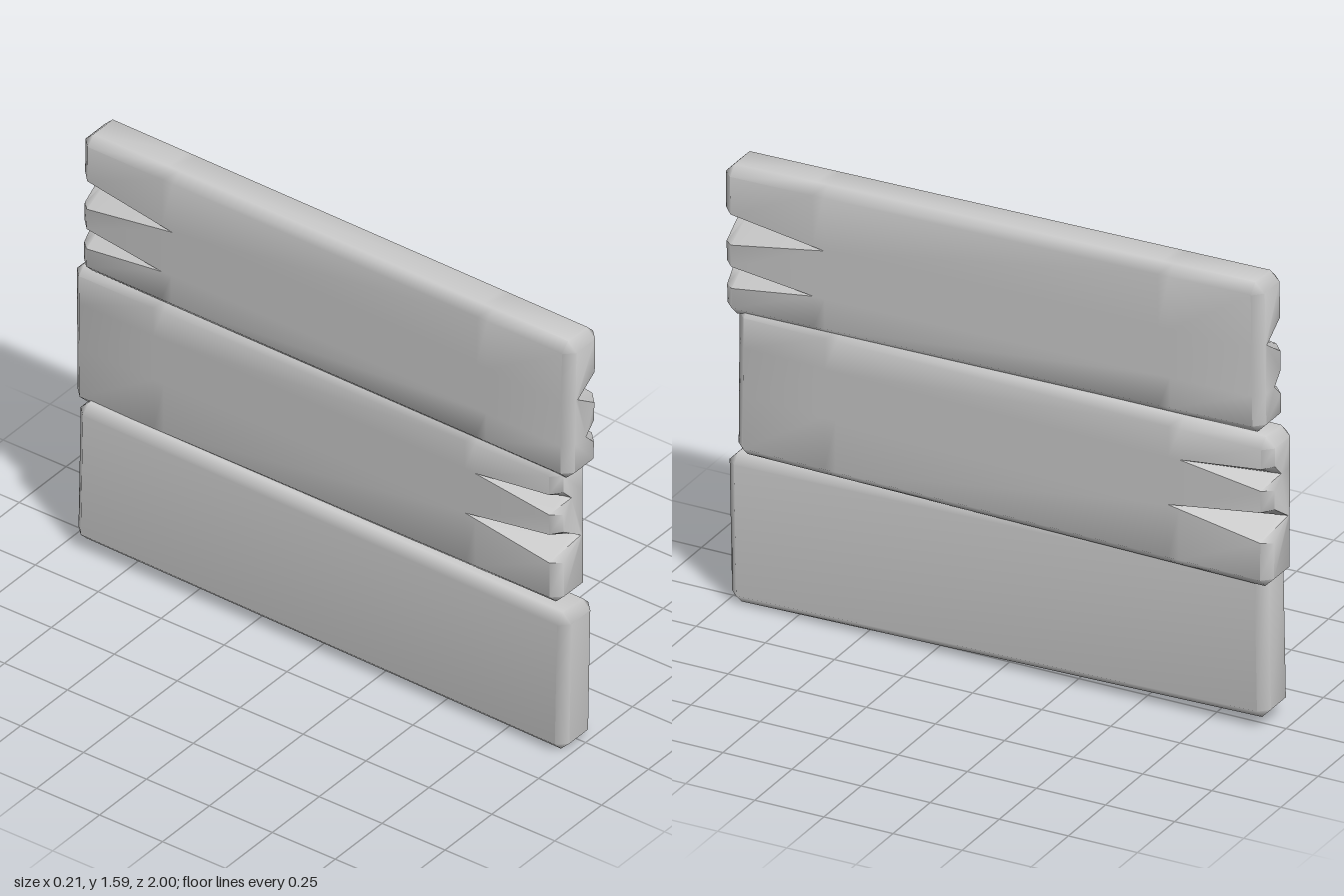
import * as THREE from 'three';

const HX = 0.083, HY = 0.266, HZ = 0.975, BEVEL = 0.033;
// Wedge-shaped splits: height on the plank, half opening, depth and length
const SPLITS = [
  { y: -0.125, open: 0.043, depth: 0.075, len: 0.33 },
  { y: 0.045, open: 0.06, depth: 0.122, len: 0.37 },
];

// Closed cross-section at z, counterclockwise seen from the front
function section(z, splits) {
  const atEnd = Math.abs(z) > HZ - BEVEL / 2;
  const hx = atEnd ? HX - BEVEL : HX, hy = atEnd ? HY - BEVEL : HY;
  const c = atEnd ? 0 : BEVEL;
  const pts = [];
  // side +1 runs upward with splits at the front, side -1 downward with splits at the back
  for (const side of [1, -1]) {
    pts.push([side * (hx - c), -side * hy], [side * hx, -side * (hy - c)]);
    const ordered = side > 0 ? splits : [...splits].reverse();
    for (const s of ordered) {
      const t = Math.max(0, (side * z - (HZ - s.len)) / s.len);
      const inner = t > 0 ? HX - s.depth * t : hx;
      pts.push(
        [side * hx, s.y - side * s.open * t],
        [side * Math.min(hx, inner), s.y],
        [side * hx, s.y + side * s.open * t]);
    }
    pts.push([side * hx, side * (hy - c)], [side * (hx - c), side * hy]);
  }
  return pts.map(([x, y]) => new THREE.Vector3(x, y, z));
}

// Area-weighted normals that stay sharp across edges steeper than the limit
function creasedGeometry(tris, limit) {
  const key = v => `${v.x.toFixed(4)},${v.y.toFixed(4)},${v.z.toFixed(4)}`;
  const around = new Map(), faces = [];
  for (const tri of tris) {
    const n = tri[1].clone().sub(tri[0]).cross(tri[2].clone().sub(tri[0]));
    if (n.length() < 1e-8) continue;
    const face = { tri, n, unit: n.clone().normalize() };
    faces.push(face);
    for (const v of tri) {
      if (!around.has(key(v))) around.set(key(v), []);
      around.get(key(v)).push(face);
    }
  }
  const pos = [], nor = [], minDot = Math.cos(limit);
  for (const f of faces) for (const v of f.tri) {
    const sum = new THREE.Vector3();
    for (const g of around.get(key(v))) if (g.unit.dot(f.unit) > minDot) sum.add(g.n);
    pos.push(...v.toArray());
    nor.push(...sum.normalize().toArray());
  }
  const geo = new THREE.BufferGeometry();
  geo.setAttribute('position', new THREE.Float32BufferAttribute(pos, 3));
  geo.setAttribute('normal', new THREE.Float32BufferAttribute(nor, 3));
  return geo;
}

// Bevelled plank lofted along z
function plankGeometry(splits) {
  const half = [HZ, HZ - BEVEL, ...splits.map(s => HZ - s.len)].sort((a, b) => a - b);
  const rings = [...half.map(z => -z).reverse(), ...half].map(z => section(z, splits));
  const n = rings[0].length, tris = [];
  for (let i = 0; i < rings.length - 1; i++) {
    for (let j = 0; j < n; j++) {
      const k = (j + 1) % n;
      const a = rings[i][j], b = rings[i][k], c = rings[i + 1][j], d = rings[i + 1][k];
      tris.push([a, b, c], [b, d, c]);
    }
  }
  // End caps
  for (const [ring, front] of [[rings[0], false], [rings[rings.length - 1], true]]) {
    const outline = ring.filter((p, j) => p.distanceTo(ring[(j + 1) % n]) > 1e-6);
    const flat = outline.map(p => new THREE.Vector2(p.x, p.y));
    for (const [a, b, c] of THREE.ShapeUtils.triangulateShape(flat, [])) {
      const [p, q, r] = [outline[a], outline[b], outline[c]];
      const ccw = (q.x - p.x) * (r.y - p.y) - (q.y - p.y) * (r.x - p.x) > 0;
      tris.push(ccw === front ? [p, q, r] : [p, r, q]);
    }
  }
  return creasedGeometry(tris, 0.98);
}

export function createModel() {
  const group = new THREE.Group();
  group.name = 'plankPanel';
  const material = new THREE.MeshStandardMaterial({ color: 0xcccccc });
  const split = plankGeometry(SPLITS), plain = plankGeometry([]);

  const addPlank = (name, geometry, position, rotation) => {
    const mesh = new THREE.Mesh(geometry, material);
    mesh.name = name;
    mesh.position.set(...position);
    mesh.rotation.set(...rotation);
    group.add(mesh);
  };
  // Slightly crooked stack; the middle plank is the split plank turned over
  addPlank('bottomPlank', plain, [-0.024, 0.288, 0.02], [0.019, 0, 0]);
  addPlank('middlePlank', split, [0.009, 0.807, -0.022], [-0.007, -0.012, Math.PI]);
  addPlank('topPlank', split, [0.001, 1.32, 0.022], [0.013, 0, 0]);
  return group;
}
